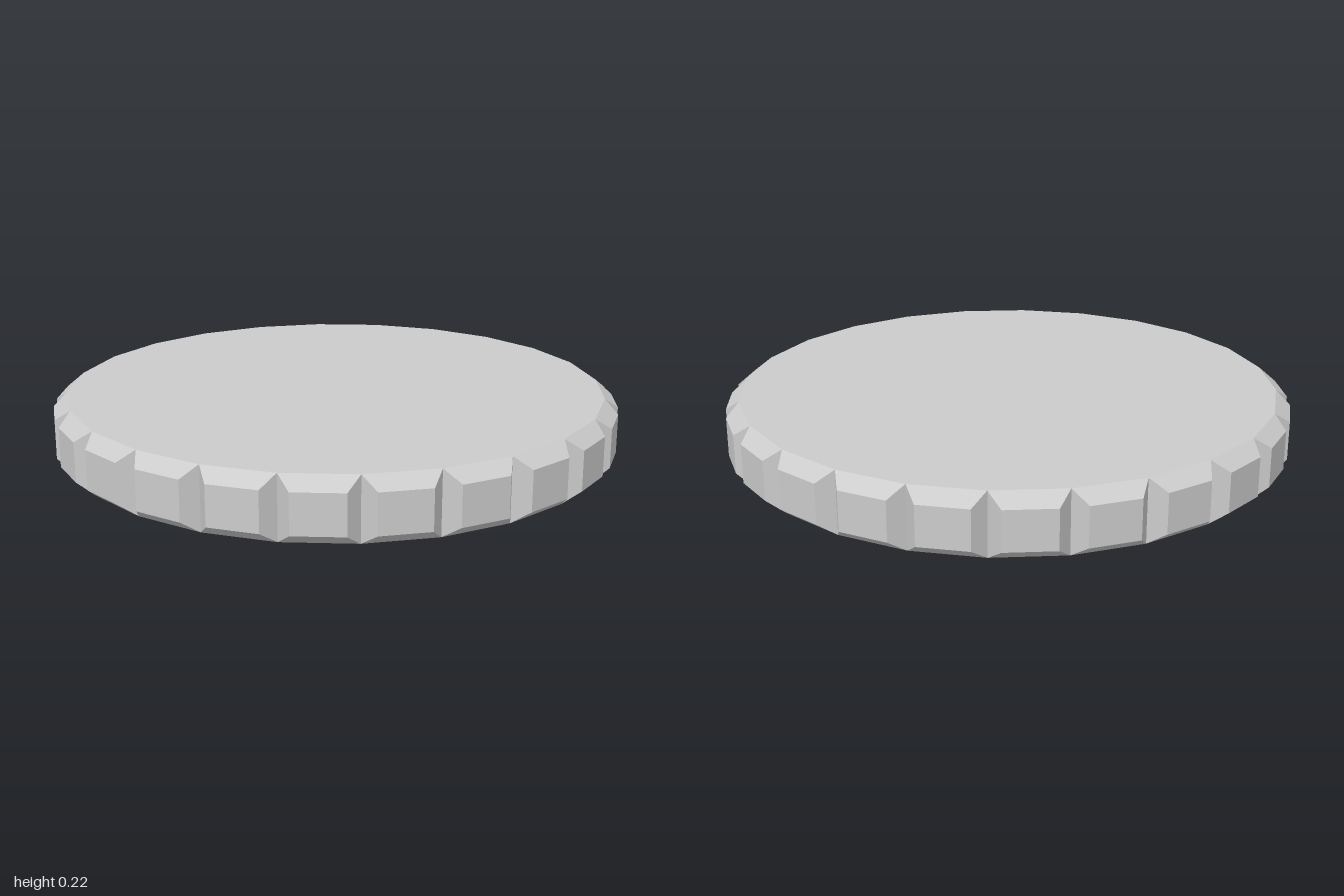
import * as THREE from 'three';

const TEETH = 24;
const STEP = (Math.PI * 2) / TEETH;
const HEIGHT = 0.22;
const R_ROOT = 0.953;
const R_TIP = 1.001;

// Point on a circle around the y axis, measured from +z towards +x
const polar = (r, a, y) => [r * Math.sin(a), y, r * Math.cos(a)];

// One bevelled tooth: a smaller outer face joined to the body's edge by four slopes
function toothGeometry() {
  const inset = 0.045;
  const ring = (r, a0, a1, y0, y1) => [
    polar(r, a0, y0), polar(r, a1, y0), polar(r, a1, y1), polar(r, a0, y1),
  ];
  const root = ring(R_ROOT, 0, STEP, 0, HEIGHT);
  const tip = ring(R_TIP, inset, STEP - inset, 0.041, HEIGHT - 0.041);
  const positions = [];
  const quad = (a, b, c, d) => positions.push(...a, ...b, ...c, ...a, ...c, ...d);
  quad(...tip);
  for (let i = 0; i < 4; i++) {
    const j = (i + 1) % 4;
    quad(root[i], root[j], tip[j], tip[i]);
  }
  const geometry = new THREE.BufferGeometry();
  geometry.setAttribute('position', new THREE.Float32BufferAttribute(positions, 3));
  geometry.computeVertexNormals();
  return geometry;
}

export function createModel() {
  const group = new THREE.Group();
  group.name = 'toothedDisc';
  const material = new THREE.MeshStandardMaterial({ color: 0xcccccc, flatShading: true });

  // Flat top face
  const top = new THREE.Mesh(new THREE.CircleGeometry(R_ROOT, TEETH), material);
  top.name = 'topFace';
  top.rotation.x = -Math.PI / 2;
  top.position.y = HEIGHT;
  group.add(top);

  // Underside: flat rim, sloping recess and flat centre
  const profile = [[0, 0.142], [0.354, 0.142], [0.853, 0], [R_ROOT, 0]]
    .map(([r, y]) => new THREE.Vector2(r, y));
  const underside = new THREE.Mesh(new THREE.LatheGeometry(profile, TEETH), material);
  underside.name = 'hollowUnderside';
  group.add(underside);

  // Ring of teeth around the edge
  const rim = new THREE.Group();
  rim.name = 'toothedRim';
  const geometry = toothGeometry();
  for (let i = 0; i < TEETH; i++) {
    const tooth = new THREE.Mesh(geometry, material);
    tooth.name = 'tooth';
    tooth.rotation.y = i * STEP;
    rim.add(tooth);
  }
  group.add(rim);

  return group;
}
